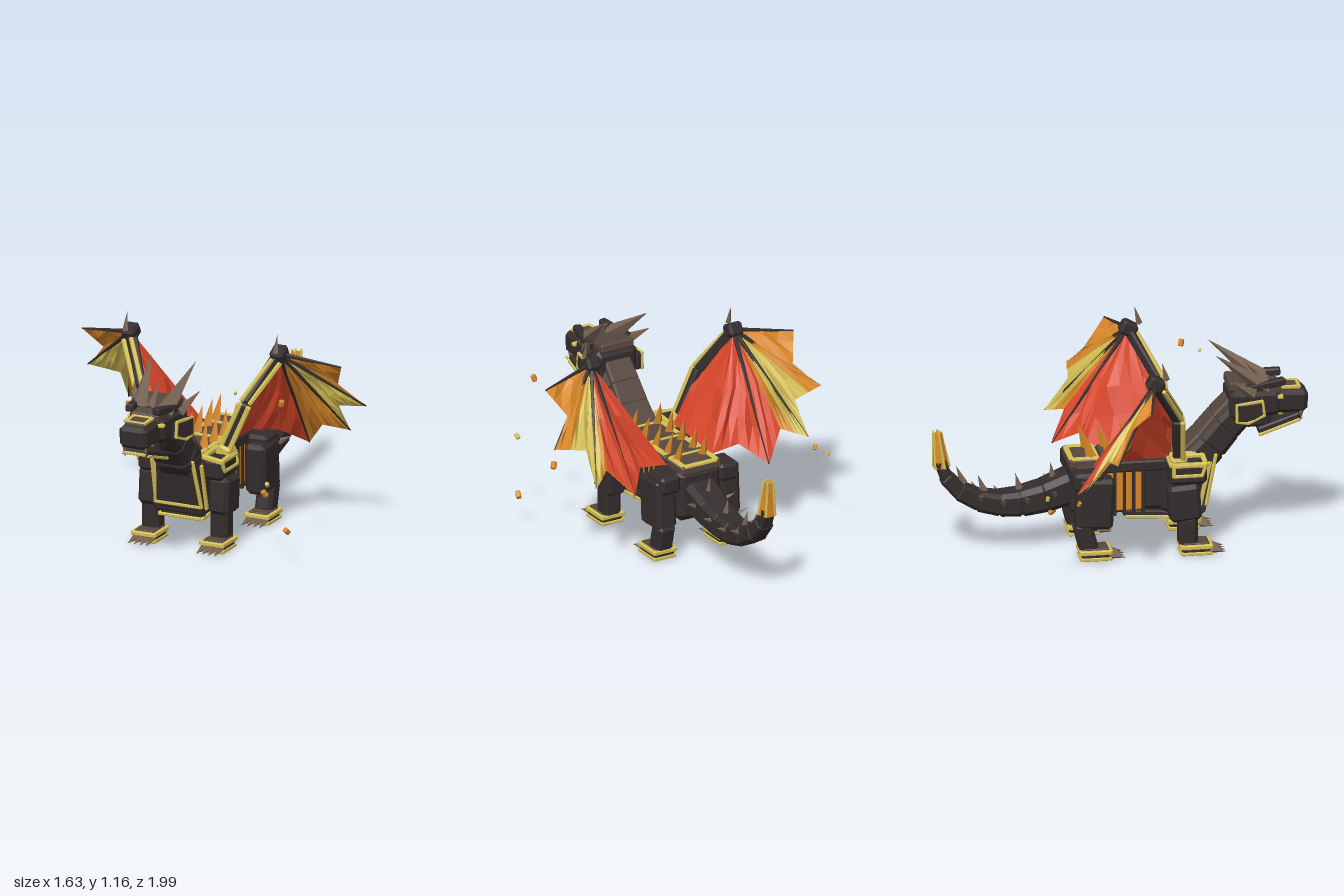
import * as THREE from 'three';
import { ConvexGeometry } from 'three/addons/geometries/ConvexGeometry.js';

const V = (x, y, z) => new THREE.Vector3(x, y, z);

export function createModel() {
  const root = new THREE.Group();
  root.name = 'dragon';
  const paint = (name, color, side = THREE.FrontSide) => {
    const m = new THREE.MeshStandardMaterial({ color, side, flatShading: true });
    m.name = name;
    return m;
  };
  const dark = paint('charcoal', 0x352d2d);
  const brown = paint('brown', 0x574840);
  const horn = paint('horn', 0x7c6657);
  const yellow = paint('yellow', 0xd4bf55, THREE.DoubleSide);
  const orange = paint('orange', 0xd88829, THREE.DoubleSide);
  const red = paint('red', 0xd8462a, THREE.DoubleSide);

  const add = (name, geo, mat) => {
    const m = new THREE.Mesh(geo, mat);
    m.name = name;
    root.add(m);
    return m;
  };

  // Bevelled box; taper narrows the +z end
  const bevelBox = (w, h, d, taper = 1) => {
    const c = Math.min(w, h, d) * 0.18, pts = [];
    for (const sx of [-1, 1]) for (const sy of [-1, 1]) for (const sz of [-1, 1])
      for (let a = 0; a < 3; a++) {
        const t = sz > 0 ? taper : 1;
        pts.push(V(sx * (w / 2 - (a === 0 ? 0 : c)) * t, sy * (h / 2 - (a === 1 ? 0 : c)) * t,
          sz * (d / 2 - (a === 2 ? 0 : c))));
      }
    return new ConvexGeometry(pts);
  };
  const block = (name, mat, [w, h, d], [x, y, z], [rx, ry, rz] = [0, 0, 0], taper = 1) => {
    const m = add(name, bevelBox(w, h, d, taper), mat);
    m.position.set(x, y, z);
    m.rotation.set(rx, ry, rz);
    return m;
  };
  // Bar from a to b, lengthened by extra so that bars in a chain overlap
  const beam = (name, mat, a, b, w, h, taper = 1, extra = 0) => {
    const m = add(name, bevelBox(w, h, a.distanceTo(b) + extra, taper), mat);
    m.position.lerpVectors(a, b, 0.5);
    m.lookAt(b);
    return m;
  };
  // Four sided spike from a to b
  const spike = (name, mat, a, b, r) => {
    const m = add(name, new THREE.ConeGeometry(r, a.distanceTo(b), 4), mat);
    m.position.lerpVectors(a, b, 0.5);
    m.quaternion.setFromUnitVectors(V(0, 1, 0), b.clone().sub(a).normalize());
    return m;
  };
  // Trim along a closed outline
  const frame = (name, pts, t = 0.018) =>
    pts.forEach((p, i) => beam(name, yellow, p, pts[(i + 1) % pts.length], t, t, 1, t * 0.6));
  // Flat rectangular outline at height y
  const rect = (x, y, z, w, d) => [[-1, -1], [1, -1], [1, 1], [-1, 1]].map(([a, b]) => V(x + a * w / 2, y, z + b * d / 2));

  // Body
  block('chest', dark, [0.29, 0.33, 0.25], [0, 0.345, 0.32]);
  block('waist', dark, [0.23, 0.3, 0.4], [0, 0.35, 0.05]);
  block('hips', dark, [0.28, 0.3, 0.22], [0, 0.35, -0.17]);
  const plate = new ConvexGeometry([
    V(-0.14, 0.18, 0.4), V(0.14, 0.18, 0.4), V(-0.14, 0.2, 0.435), V(0.14, 0.2, 0.435),
    V(-0.11, 0.5, 0.5), V(0.11, 0.5, 0.5), V(-0.12, 0.52, 0.4), V(0.12, 0.52, 0.4)]);
  add('chestPlate', plate, dark);
  frame('chestTrim', [V(-0.135, 0.24, 0.44), V(0.135, 0.24, 0.44), V(0.11, 0.5, 0.495), V(-0.11, 0.5, 0.495)]);
  block('bellyPlate', dark, [0.24, 0.04, 0.4], [0, 0.19, 0.21], [0.08, 0, 0]);
  frame('bellyTrim', [V(-0.125, 0.165, 0.41), V(0.125, 0.165, 0.41), V(0.115, 0.19, 0.02), V(-0.115, 0.19, 0.02)]);
  for (const s of [-1, 1]) {
    for (let i = 0; i < 4; i++) block('ribGlow', orange, [0.03, 0.22, 0.038], [s * 0.118, 0.34, 0.08 - i * 0.05]);
    for (let i = 0; i < 5; i++) block('rib', dark, [0.055, 0.27, 0.016], [s * 0.115, 0.34, 0.105 - i * 0.05]);
    block('ribTop', dark, [0.05, 0.06, 0.34], [s * 0.12, 0.475, 0.06]);
  }

  // Back plates with trim and paired spikes
  for (const [z, d] of [[-0.2, 0.17], [0, 0.21], [0.21, 0.2], [0.35, 0.1]]) {
    block('backPlate', brown, [0.24, 0.05, d], [0, 0.495, z]);
    for (const s of [-1, 1]) block('backTrim', yellow, [0.03, 0.02, d * 0.84], [s * 0.1, 0.517, z]);
  }
  block('hipTrim', yellow, [0.2, 0.03, 0.028], [0, 0.511, -0.27]);
  for (const [z, w] of [[-0.13, 0.2], [0.095, 0.2], [0.3, 0.2]]) block('backCrossTrim', yellow, [w, 0.02, 0.016], [0, 0.517, z]);
  for (const s of [-1, 1]) for (const z of [-0.16, -0.06, 0.06, 0.18, 0.3])
    spike('backSpike', orange, V(s * 0.078, 0.51, z), V(s * 0.07, 0.655, z - 0.05), 0.03);

  // Neck
  const neck = [[0.37, 0.43], [0.48, 0.54], [0.56, 0.635], [0.66, 0.74]];
  for (let i = 0; i < 3; i++) {
    const [z0, y0] = neck[i], [z1, y1] = neck[i + 1];
    beam('neck', dark, V(0, y0, z0), V(0, y1, z1), 0.225 - i * 0.012, 0.18 - i * 0.012, 0.96, 0.045);
    beam('neckPlate', brown, V(0, y0 + 0.06, z0 - 0.055), V(0, y1 + 0.06, z1 - 0.055), 0.18 - i * 0.01, 0.05, 0.94, 0.01);
  }

  // Head
  block('cranium', dark, [0.26, 0.17, 0.28], [0, 0.77, 0.71], [0, 0, 0], 0.82);
  block('skullPlate', brown, [0.2, 0.05, 0.28], [0, 0.855, 0.71], [0.12, 0, 0], 0.85);
  block('snout', dark, [0.175, 0.13, 0.18], [0, 0.765, 0.905], [0.05, 0, 0], 0.93);
  block('nosePlate', brown, [0.11, 0.025, 0.11], [0, 0.83, 0.91], [0.05, 0, 0]);
  frame('noseTrim', [V(-0.055, 0.842, 0.86), V(0.055, 0.842, 0.86), V(0.05, 0.836, 0.95), V(-0.05, 0.836, 0.95)], 0.018);
  beam('jaw', dark, V(0, 0.605, 0.73), V(0, 0.68, 0.955), 0.16, 0.045, 0.9);
  block('jawFrontTrim', yellow, [0.13, 0.016, 0.014], [0, 0.67, 0.96]);
  block('mouth', dark, [0.12, 0.09, 0.14], [0, 0.67, 0.73]);
  block('mouthGlow', yellow, [0.11, 0.015, 0.02], [0, 0.695, 0.85]);
  spike('centreHorn', horn, V(0, 0.87, 0.78), V(0, 0.98, 0.66), 0.025);

  for (const s of [-1, 1]) {
    const P = (x, y, z) => V(s * x, y, z);
    beam('jawTrim', yellow, P(0.08, 0.59, 0.73), P(0.073, 0.663, 0.95), 0.016, 0.016);
    beam('brow', dark, P(0.12, 0.865, 0.66), P(0.075, 0.885, 0.87), 0.045, 0.04);
    block('eye', yellow, [0.05, 0.018, 0.03], [s * 0.092, 0.805, 0.842]);
    block('cheek', dark, [0.05, 0.1, 0.15], [s * 0.135, 0.745, 0.67], [0, -s * 0.2, 0]);
    frame('cheekTrim', [P(0.162, 0.79, 0.6), P(0.14, 0.8, 0.74), P(0.14, 0.72, 0.75), P(0.155, 0.685, 0.66), P(0.165, 0.7, 0.6)], 0.015);
    spike('fang', horn, P(0.06, 0.71, 0.96), P(0.06, 0.64, 0.95), 0.014);
    spike('greatHorn', horn, P(0.075, 0.85, 0.77), P(0.13, 1.066, 0.49), 0.052);
    spike('sideHorn', horn, P(0.125, 0.84, 0.69), P(0.195, 0.935, 0.57), 0.034);

    // Shoulders
    block('shoulder', dark, [0.12, 0.12, 0.2], [s * 0.19, 0.45, 0.33]);
    frame('shoulderTrim', [P(0.13, 0.515, 0.24), P(0.235, 0.505, 0.24), P(0.245, 0.5, 0.42), P(0.14, 0.515, 0.42)], 0.026);
    frame('shoulderSideTrim', [P(0.248, 0.5, 0.25), P(0.25, 0.445, 0.25), P(0.25, 0.445, 0.4), P(0.248, 0.5, 0.42)], 0.018);
    beam('chestEdge', yellow, P(0.145, 0.48, 0.46), P(0.148, 0.22, 0.4), 0.016, 0.022);

    // Legs
    block('frontThigh', dark, [0.115, 0.2, 0.17], [s * 0.205, 0.29, 0.31], [-0.08, 0, 0]);
    block('frontShin', dark, [0.1, 0.17, 0.1], [s * 0.2, 0.13, 0.33]);
    block('rearThigh', dark, [0.12, 0.28, 0.2], [s * 0.195, 0.31, -0.165], [0.06, 0, 0]);
    block('rearHip', dark, [0.12, 0.1, 0.16], [s * 0.18, 0.43, -0.2]);
    block('rearShin', dark, [0.1, 0.17, 0.1], [s * 0.2, 0.125, -0.215], [-0.25, 0, 0]);

    // Feet with trim, and claws
    for (const z of [0.37, -0.165]) {
      block('foot', dark, [0.125, 0.06, 0.155], [s * 0.2, 0.032, z]);
      block('footPlate', brown, [0.11, 0.02, 0.14], [s * 0.2, 0.058, z]);
      frame('footTrim', rect(s * 0.2, 0.048, z, 0.122, 0.152), 0.024);
      frame('soleTrim', rect(s * 0.2, 0.012, z, 0.12, 0.15), 0.018);
      for (let i = 0; i < 4; i++) {
        const x = 0.152 + i * 0.032;
        spike('claw', horn, P(x, 0.028, z + 0.07), P(x + (i - 1.5) * 0.004, 0.012, z + 0.16), 0.021);
      }
    }

    // Wing arm
    const S = P(0.2, 0.53, 0.28), E = P(0.31, 0.79, 0.26), J = P(0.435, 1.04, 0.12);
    const shift = (p, x, y, z) => p.clone().add(P(x, y, z));
    beam('upperArm', dark, S, E, 0.06, 0.06);
    beam('forearm', dark, E, J, 0.055, 0.055);
    for (const [x, y, z] of [[-0.02, 0.008, 0.026], [0.026, -0.01, 0.022]])
      beam('upperArmTrim', yellow, shift(S, x, y, z), shift(E, x, y, z), 0.026, 0.026);
    for (const [x, y, z] of [[-0.02, 0.016, 0.022], [0.025, 0, 0.02]])
      beam('forearmTrim', yellow, shift(E, x, y, z), shift(J, x, y - 0.035, z + 0.02), 0.022, 0.022);
    block('wingSocket', yellow, [0.08, 0.07, 0.09], [s * 0.2, 0.52, 0.28], [0, 0, -s * 0.4]);
    block('wingJoint', dark, [0.08, 0.075, 0.09], [s * 0.435, 1.04, 0.12], [0.5, 0, 0]);
    spike('wingSpike', horn, P(0.44, 1.06, 0.18), P(0.44, 1.16, 0.153), 0.017);

    // Wing fingers and crumpled membrane, with an inner and an outer skin
    const tips = [P(0.76, 0.99, 0.045), P(0.815, 0.73, -0.14), P(0.65, 0.53, -0.29), P(0.41, 0.43, -0.29)];
    tips.forEach((t) => beam('wingFinger', dark, J, t, 0.022, 0.022, 0.3));
    const membrane = (a, b, mat, outerMat = mat) => {
      const n = a.clone().sub(J).cross(b.clone().sub(J)).normalize();
      if (n.z > 0) n.negate();
      const at = (i, j, lift) => {
        const v = j / 4;
        const p = a.clone().lerp(b, i / 3).sub(J).multiplyScalar(v).add(J);
        const fold = i % 3 && j < 4 ? 0.03 * v * Math.sin(i * 4.1 + j * 2.3) : 0;
        return p.addScaledVector(n, fold + lift);
      };
      const skin = (name, material, lift) => {
        const pts = [];
        for (let i = 0; i < 3; i++) for (let j = 0; j < 4; j++) {
          const q = [at(i, j, lift), at(i + 1, j, lift), at(i + 1, j + 1, lift), at(i, j + 1, lift)];
          pts.push(q[0], q[2], q[3]);
          if (j) pts.push(q[0], q[1], q[2]);
        }
        const g = new THREE.BufferGeometry().setFromPoints(pts);
        g.computeVertexNormals();
        add(name, g, material);
      };
      skin('wingMembrane', mat, 0);
      if (outerMat !== mat) skin('wingOuterSkin', outerMat, 0.006);
    };
    const v1 = P(0.68, 0.85, -0.08), v2 = P(0.64, 0.7, -0.17), v3 = P(0.53, 0.57, -0.2);
    const m2 = tips[1].clone().lerp(v2, 0.5), m3 = tips[2].clone().lerp(v3, 0.5);
    const inner = P(0.3, 0.52, -0.16), flank = P(0.14, 0.5, -0.16), side = P(0.14, 0.52, 0.24);
    membrane(tips[0], v1, orange);
    membrane(v1, tips[1], orange);
    membrane(tips[1], m2, yellow, orange);
    membrane(m2, v2, yellow);
    membrane(v2, tips[2], yellow);
    membrane(tips[2], m3, orange, yellow);
    membrane(m3, v3, orange);
    membrane(v3, tips[3], orange, red);
    membrane(tips[3], inner, red);
    membrane(inner, flank, red);
    membrane(flank, side, red);
    membrane(side, E, red);
  }

  // Tail
  const tail = [[-0.25, 0.35], [-0.4, 0.295], [-0.53, 0.268], [-0.64, 0.265], [-0.75, 0.29], [-0.85, 0.345], [-0.92, 0.42], [-0.955, 0.51]];
  for (let i = 0; i < tail.length - 1; i++) {
    const [z0, y0] = tail[i], [z1, y1] = tail[i + 1];
    beam('tail', dark, V(0, y0, z0), V(0, y1, z1), 0.19 - i * 0.018, 0.17 - i * 0.017, 0.92, 0.04);
  }
  [[-0.35, 0.37, -0.37, 0.48], [-0.53, 0.33, -0.555, 0.425], [-0.72, 0.33, -0.755, 0.43], [-0.83, 0.385, -0.87, 0.485]]
    .forEach(([z0, y0, z1, y1]) => spike('tailSpike', horn, V(0, y0, z0), V(0, y1, z1), 0.022));
  [[-0.37, 0.32, 0.085], [-0.515, 0.29, 0.075], [-0.64, 0.28, 0.065], [-0.76, 0.31, 0.055]].forEach(([z, y, w]) => {
    for (const s of [-1, 1]) spike('tailSideSpike', horn, V(s * (w - 0.01), y, z + 0.015), V(s * (w + 0.065), y + 0.04, z - 0.01), 0.022);
  });

  // Tail flame: a narrowing tuft with bright edges
  const flame = add('tailFlame', new THREE.CylinderGeometry(0.024, 0.048, 0.19, 5), orange);
  flame.position.set(0, 0.58, -0.96);
  flame.rotation.x = -0.08;
  for (let i = 0; i < 5; i++) {
    const a = (i / 5) * Math.PI * 2, x = Math.sin(a), z = Math.cos(a);
    beam('tailFlameEdge', yellow, V(x * 0.047, 0.485, -0.951 + z * 0.045), V(x * 0.027, 0.685, -0.973 + z * 0.02), 0.014, 0.014, 0.7);
  }

  // Floating embers
  [[0.49, 0.36, 0.41, 0.034], [0.66, 0.2, 0.49, 0.034], [0.6, 0.48, 0.6, 0.026], [0.36, 0.92, 0.49, 0.016],
    [0.6, 0.88, 0.43, 0.032], [-0.65, 0.51, -0.49, 0.022], [-0.67, 0.48, -0.325, 0.024], [0, 0.2, -0.36, 0.034]]
    .forEach(([x, y, z, r], i) =>
      block('ember', [2, 3, 5].includes(i) ? yellow : orange, [r * 0.8, r * 1.2, r * 0.8], [x, y, z], [0.5, i, 0.4]));

  return root;
}
